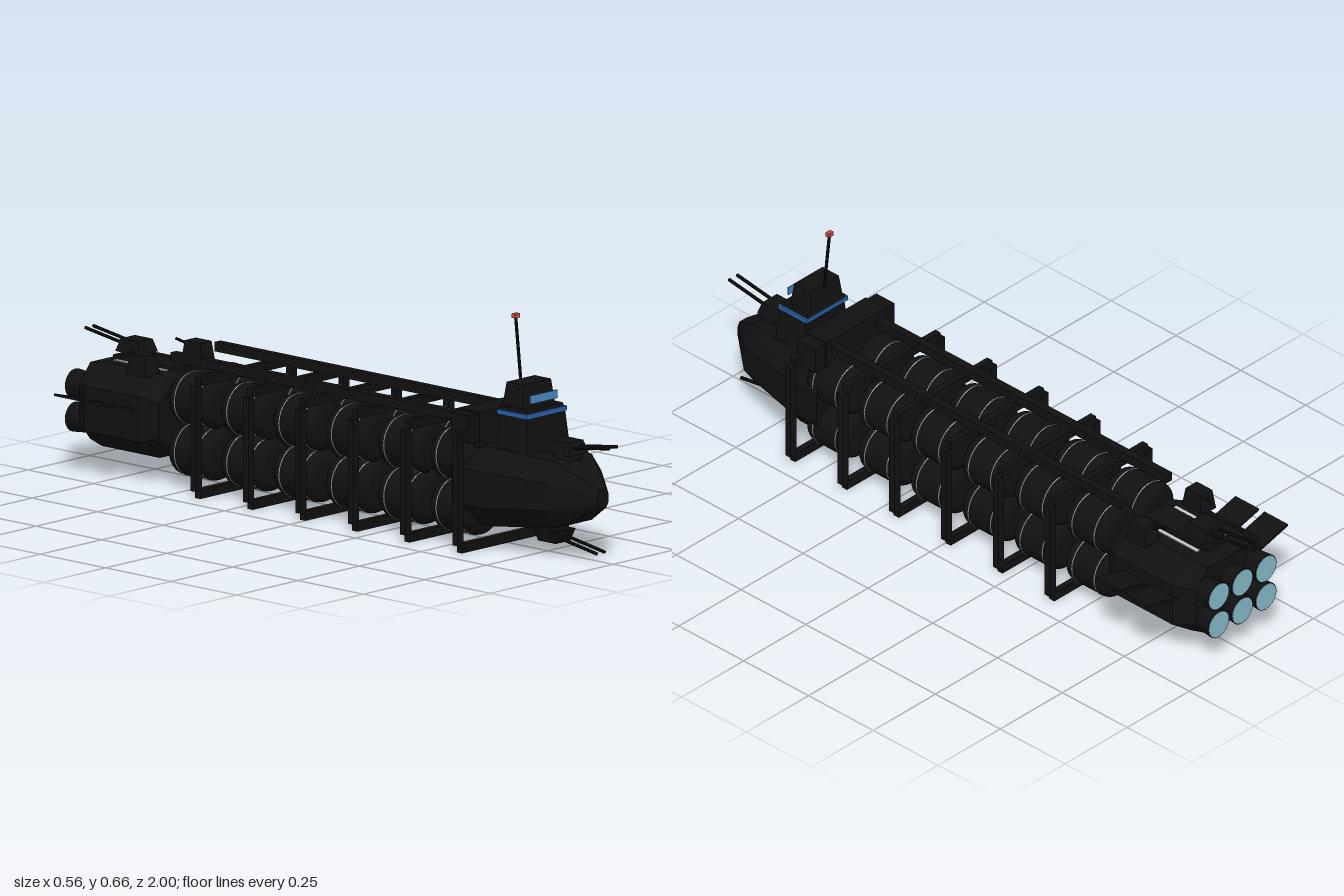
import * as THREE from 'three';

const paint = (color, extra = {}) => new THREE.MeshStandardMaterial({ color, ...extra });
const hull = paint(0x111111, { flatShading: true });
const tankPaint = paint(0x111111);
const white = paint(0xe4e4e4);
const glass = paint(0x4a8cc8);
const trim = paint(0x2a62a8);
const glow = paint(0x86bccb);
const red = paint(0xc84a4a);

function add(parent, name, geometry, material, x = 0, y = 0, z = 0) {
  const mesh = new THREE.Mesh(geometry, material);
  mesh.name = name;
  mesh.position.set(x, y, z);
  parent.add(mesh);
  return mesh;
}

// Box given by its extents
function block(parent, name, [x0, x1], [y0, y1], [z0, z1], material = hull) {
  return add(parent, name, new THREE.BoxGeometry(x1 - x0, y1 - y0, z1 - z0), material,
    (x0 + x1) / 2, (y0 + y1) / 2, (z0 + z1) / 2);
}

// Box whose top face is scaled in x and z
function taperedBox(w, h, d, sx, sz) {
  const g = new THREE.BoxGeometry(w, h, d);
  const p = g.attributes.position;
  for (let i = 0; i < p.count; i++) {
    if (p.getY(i) > 0) p.setXYZ(i, p.getX(i) * sx, p.getY(i), p.getZ(i) * sz);
  }
  g.computeVertexNormals();
  return g;
}

// Straight rod between two points
function rod(parent, name, a, b, radius, material = hull) {
  const from = new THREE.Vector3(...a), to = new THREE.Vector3(...b);
  const dir = to.clone().sub(from);
  const mesh = add(parent, name, new THREE.CylinderGeometry(radius, radius, dir.length(), 8), material);
  mesh.position.copy(from).add(to).multiplyScalar(0.5);
  mesh.quaternion.setFromUnitVectors(new THREE.Vector3(0, 1, 0), dir.normalize());
}

// Faceted hull through chamfered sections: [z, halfWidth, bottom, top, chamferX, chamferY]
function loft(sections) {
  const rings = sections.map(([z, w, b, t, cx, cy]) => [
    [w, b + cy], [w, t - cy], [w - cx, t], [cx - w, t],
    [-w, t - cy], [-w, b + cy], [cx - w, b], [w - cx, b],
  ].map(([x, y]) => [x, y, z]));
  const out = [];
  const tri = (...points) => points.forEach((p) => out.push(...p));
  for (let i = 0; i < rings.length - 1; i++) {
    for (let j = 0; j < 8; j++) {
      const k = (j + 1) % 8;
      tri(rings[i][j], rings[i][k], rings[i + 1][k]);
      tri(rings[i][j], rings[i + 1][k], rings[i + 1][j]);
    }
  }
  const first = rings[0], last = rings[rings.length - 1];
  for (let k = 1; k < 7; k++) {
    tri(first[0], first[k + 1], first[k]);
    tri(last[0], last[k], last[k + 1]);
  }
  const g = new THREE.BufferGeometry();
  g.setAttribute('position', new THREE.Float32BufferAttribute(out, 3));
  g.computeVertexNormals();
  return g;
}

// Twin-barrel gun; facing is the z direction, up is +1 or -1
function gun(parent, name, y, z, facing, up, reach, rise) {
  const g = new THREE.Group();
  g.name = name;
  g.position.set(0, y, z);
  g.scale.set(1, 1, 1);
  const base = add(g, 'turretBase', new THREE.CylinderGeometry(0.04, 0.044, 0.02, 12), hull, 0, up * 0.01, 0);
  const house = add(g, 'turretHouse', taperedBox(0.078, 0.036, 0.09, 0.75, 0.75), hull, 0, up * 0.034, 0);
  if (up < 0) base.rotation.x = house.rotation.x = Math.PI;
  for (const x of [-0.016, 0.016]) {
    rod(g, 'barrel', [x, up * 0.034, facing * 0.02], [x, up * (0.034 + rise), facing * reach], 0.005);
  }
  parent.add(g);
}

export function createModel() {
  const model = new THREE.Group();
  model.name = 'tankerShip';

  // Bow
  add(model, 'bowHull', loft([
    [0.53, 0.155, 0.07, 0.295, 0.05, 0.06],
    [0.64, 0.155, 0.07, 0.295, 0.05, 0.06],
    [0.85, 0.113, 0.092, 0.28, 0.04, 0.055],
    [0.962, 0.022, 0.155, 0.208, 0.008, 0.015],
  ]), hull);
  gun(model, 'upperBowGun', 0.277, 0.825, 1, 1, 0.175, 0.022);
  gun(model, 'lowerBowGun', 0.085, 0.775, 1, -1, 0.178, 0.026);

  // Bridge tower
  add(model, 'bridgeBase', taperedBox(0.18, 0.12, 0.115, 0.85, 0.85), hull, 0, 0.335, 0.695);
  add(model, 'bridgeDeck', taperedBox(0.16, 0.018, 0.105, 0.92, 0.92), hull, 0, 0.401, 0.69);
  block(model, 'bridgeTrim', [-0.084, 0.084], [0.387, 0.4], [0.636, 0.746], trim);
  add(model, 'bridgeCabin', taperedBox(0.13, 0.068, 0.078, 0.88, 0.8), hull, 0, 0.442, 0.678);
  block(model, 'bridgeWindow', [-0.055, 0.055], [0.425, 0.449], [0.733, 0.737], glass);
  rod(model, 'mast', [0, 0.465, 0.648], [0, 0.65, 0.628], 0.0045);
  add(model, 'mastLight', new THREE.BoxGeometry(0.019, 0.012, 0.014), red, 0, 0.653, 0.628);
  block(model, 'deckhouse', [-0.12, 0.12], [0.29, 0.393], [0.525, 0.603]);
  for (const s of [-1, 1]) {
    add(model, 'deckhousePod', new THREE.BoxGeometry(0.045, 0.08, 0.07), hull, s * 0.137, 0.348, 0.565);
  }

  // Spine and top rails
  block(model, 'spine', [-0.025, 0.025], [0.13, 0.22], [-0.62, 0.56]);
  for (const s of [-1, 1]) {
    add(model, 'topRail', new THREE.BoxGeometry(0.024, 0.027, 1.18), hull, s * 0.09, 0.361, -0.005);
  }

  // Six bays of four tanks, each bay behind a square frame
  const profile = [new THREE.Vector2(0, -0.08)];
  for (let i = 0; i <= 6; i++) {
    const a = (i / 6) * Math.PI / 2;
    profile.push(new THREE.Vector2(0.045 + 0.029 * Math.sin(a), -0.051 - 0.029 * Math.cos(a)));
  }
  profile.push(...profile.slice().reverse().map((p) => new THREE.Vector2(p.x, -p.y)));
  const tankGeo = new THREE.LatheGeometry(profile, 28).rotateX(Math.PI / 2);
  const ringGeo = new THREE.TorusGeometry(0.0735, 0.0022, 6, 32);
  for (let i = 0; i < 6; i++) {
    const bay = new THREE.Group();
    bay.name = 'tankBay';
    bay.position.z = 0.507 - i * 0.2;
    model.add(bay);
    for (const x of [-0.075, 0.075]) {
      for (const y of [0.103, 0.25]) {
        add(bay, 'tank', tankGeo, tankPaint, x, y, 0);
        for (const z of [-0.043, 0.043]) add(bay, 'tankBand', ringGeo, white, x, y, z);
      }
    }
    const depth = [0.073, 0.093];
    block(bay, 'frameBottom', [-0.188, 0.188], [0, 0.026], depth);
    block(bay, 'frameTop', [-0.188, 0.188], [0.321, 0.346], depth);
    block(bay, 'frameLeft', [0.182, 0.206], [0.023, 0.323], depth);
    block(bay, 'frameRight', [-0.206, -0.182], [0.023, 0.323], depth);
  }

  // Stern hull
  add(model, 'sternHull', loft([
    [-0.915, 0.132, 0.075, 0.295, 0.045, 0.055],
    [-0.86, 0.172, 0.065, 0.305, 0.075, 0.055],
    [-0.64, 0.172, 0.065, 0.305, 0.075, 0.055],
    [-0.595, 0.148, 0.08, 0.29, 0.06, 0.055],
  ]), hull);
  block(model, 'sternRidge', [-0.042, 0.042], [0.295, 0.316], [-0.87, -0.63]);
  for (const s of [-1, 1]) {
    add(model, 'deckStripe', new THREE.BoxGeometry(0.012, 0.004, 0.2), white, s * 0.057, 0.306, -0.75);
    // Small deck turrets
    add(model, 'deckTurret', taperedBox(0.06, 0.06, 0.075, 0.75, 0.8), hull, s * 0.112, 0.328, -0.69);
    rod(model, 'deckTurretBarrel', [s * 0.112, 0.338, -0.7], [s * 0.09, 0.358, -0.755], 0.004);
    // Radiator fins
    for (const z of [-0.715, -0.827]) {
      const fin = add(model, 'fin', new THREE.BoxGeometry(0.14, 0.007, 0.09), hull, s * 0.213, 0.222, z);
      fin.rotation.z = s * 0.26;
    }
  }
  gun(model, 'sternGun', 0.31, -0.82, -1, 1, 0.18, 0.024);

  // Six engines in two rows
  const nozzleGeo = new THREE.CylinderGeometry(0.036, 0.043, 0.075, 20).rotateX(Math.PI / 2);
  const discGeo = new THREE.CylinderGeometry(0.04, 0.04, 0.004, 20).rotateX(Math.PI / 2);
  for (const x of [-0.095, 0, 0.095]) {
    for (const y of [0.133, 0.227]) {
      add(model, 'engineNozzle', nozzleGeo, tankPaint, x, y, -0.927).rotation.y = 0;
      add(model, 'engineGlow', discGeo, glow, x, y, -0.964);
    }
  }
  return model;
}
